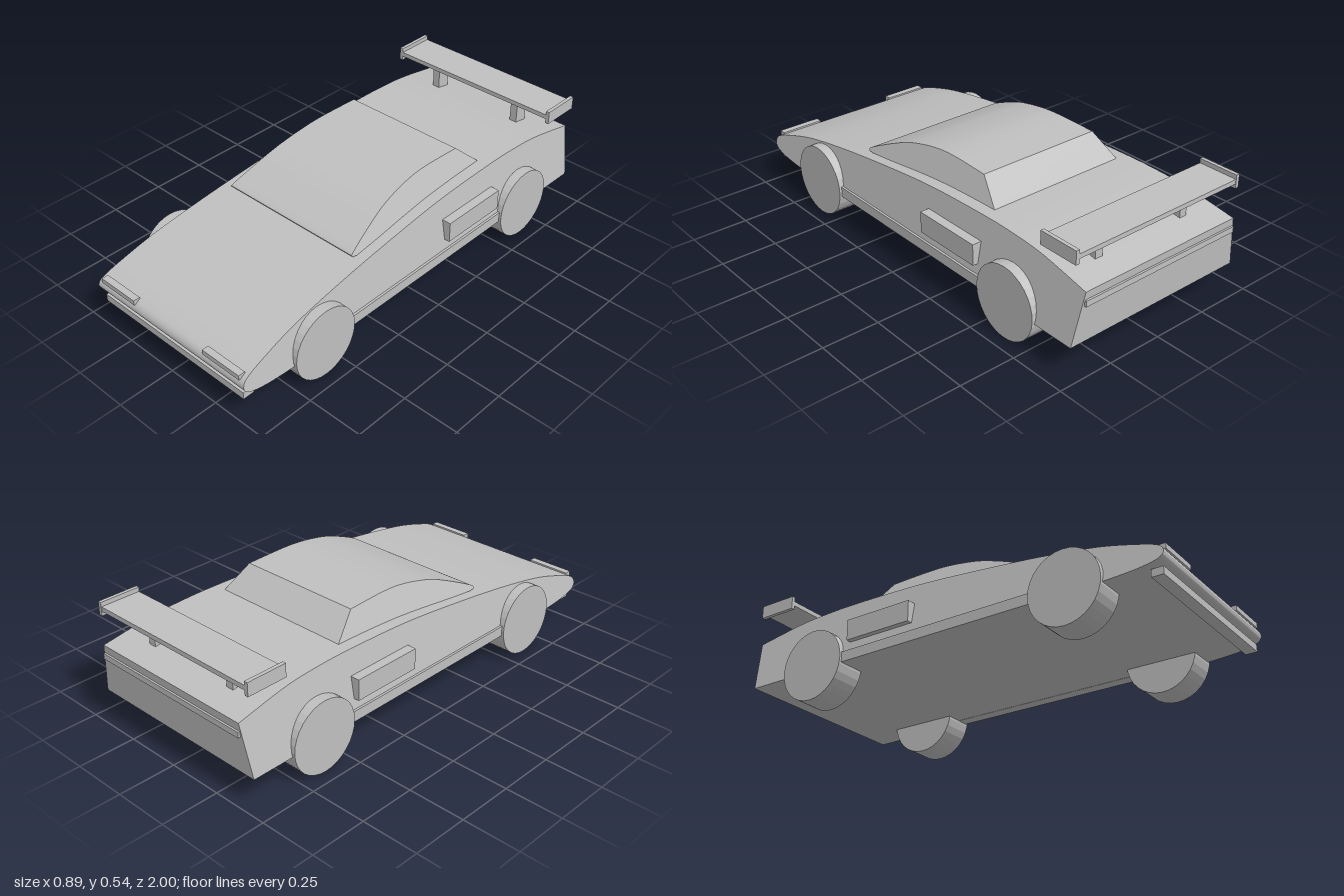
import * as THREE from 'three';
import { toCreasedNormals } from 'three/addons/utils/BufferGeometryUtils.js';

const paint = new THREE.MeshStandardMaterial({ color: 0xc0c0c0 });
paint.name = 'grey';

export function createModel() {
  const model = new THREE.Group();
  model.name = 'wedgeCar';

  function add(name, geometry) {
    const mesh = new THREE.Mesh(geometry, paint);
    mesh.name = name;
    model.add(mesh);
    return mesh;
  }

  // Box given by its limits on each axis
  function box(name, x0, x1, y0, y1, z0, z1) {
    const mesh = add(name, new THREE.BoxGeometry(x1 - x0, y1 - y0, z1 - z0));
    mesh.position.set((x0 + x1) / 2, (y0 + y1) / 2, (z0 + z1) / 2);
  }

  // Box on the left side and its mirror image on the right
  function boxPair(name, x0, x1, ...rest) {
    box(name + 'Left', x0, x1, ...rest);
    box(name + 'Right', -x1, -x0, ...rest);
  }

  // Side profile (z, y) swept across the car, its half width set by height
  function taperedHull(shape, halfWidth) {
    const g = new THREE.ExtrudeGeometry(shape, { depth: 2, bevelEnabled: false, curveSegments: 5 });
    g.translate(0, 0, -1).rotateY(-Math.PI / 2);
    const p = g.attributes.position;
    for (let i = 0; i < p.count; i++) p.setX(i, p.getX(i) * halfWidth(p.getY(i)));
    return toCreasedNormals(g, 0.5);
  }

  const points = (list) => list.map(([z, y]) => new THREE.Vector2(z, y));

  // Body: low wedge with rounded nose and upright tail
  const body = new THREE.Shape();
  body.moveTo(-0.973, 0.137);
  body.lineTo(0.76, 0.137);
  body.splineThru(points([[0.89, 0.145], [0.972, 0.16], [1, 0.18], [0.998, 0.205], [0.975, 0.225],
    [0.91, 0.25], [0.76, 0.294], [0.6, 0.325], [0.36, 0.36], [0.03, 0.397], [-0.18, 0.413],
    [-0.45, 0.421], [-0.61, 0.419], [-0.77, 0.407], [-0.995, 0.367]]));
  body.closePath();
  add('body', taperedHull(body, (y) => 0.432 - (y - 0.137) * 0.183));

  // Cabin: curved windscreen and roof, straight rear slope
  const cabin = new THREE.Shape();
  cabin.moveTo(-0.437, 0.42);
  cabin.lineTo(0.1, 0.388);
  cabin.lineTo(0.33, 0.367);
  cabin.lineTo(0.352, 0.37);
  cabin.splineThru(points([[0.345, 0.385], [0.223, 0.442], [0.115, 0.483], [-0.02, 0.512],
    [-0.14, 0.521], [-0.33, 0.516]]));
  cabin.closePath();
  add('cabin', taperedHull(cabin, (y) => 0.345 - (y - 0.37) * 0.395));

  // Wheels
  const wheel = toCreasedNormals(
    new THREE.CylinderGeometry(0.157, 0.157, 0.135, 32).rotateZ(Math.PI / 2), 0.05);
  for (const [end, z] of [['front', 0.605], ['rear', -0.63]]) {
    for (const [side, s] of [['Left', 1], ['Right', -1]]) {
      add(end + 'Wheel' + side, wheel).position.set(s * 0.3775, 0.157, z);
    }
  }

  // Side details
  boxPair('sill', 0.38, 0.434, 0.136, 0.182, -0.63, 0.605);
  boxPair('sideIntake', 0.37, 0.44, 0.225, 0.317, -0.446, -0.124);

  // Nose and tail details
  boxPair('headlight', 0.198, 0.396, 0.213, 0.235, 0.97, 1);
  box('frontSplitter', -0.4, 0.4, 0.113, 0.145, 0.938, 0.988);
  box('tailStrip', -0.39, 0.39, 0.307, 0.332, -1, -0.97);

  // Rear wing
  box('wing', -0.41, 0.41, 0.498, 0.518, -0.973, -0.797);
  boxPair('wingEndPlate', 0.408, 0.424, 0.479, 0.537, -0.975, -0.796);
  boxPair('wingPost', 0.205, 0.24, 0.38, 0.5, -0.887, -0.823);

  return model;
}
